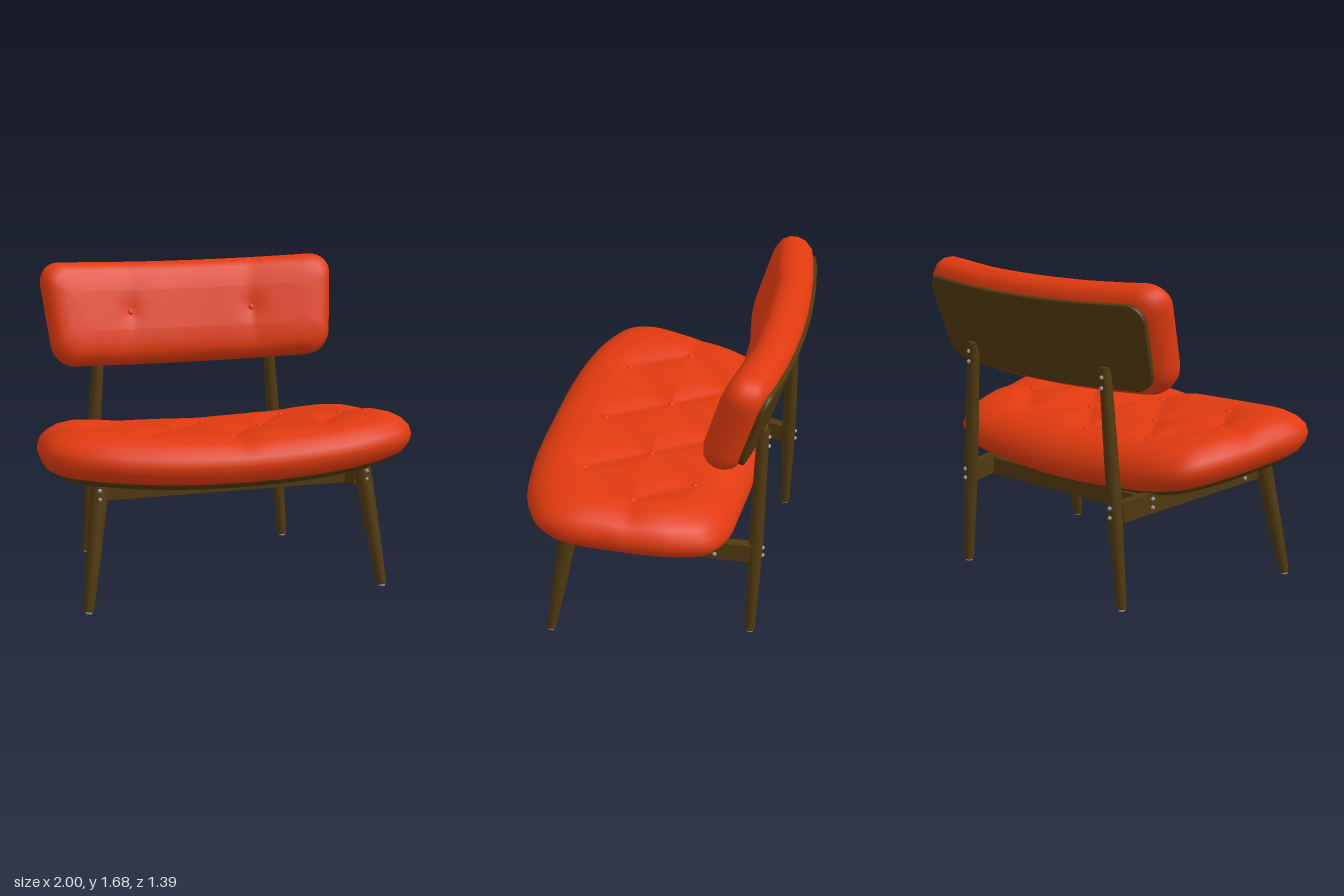
import * as THREE from 'three';

const mat = (name, color) => Object.assign(new THREE.MeshStandardMaterial({ color }), { name });

export function createModel() {
  const fabric = mat('orange red fabric', 0xe03a0f);
  const wood = mat('dark brown wood', 0x50390f);
  const metal = mat('grey metal', 0x999999);
  const group = new THREE.Group();
  const V = (x, y, z) => new THREE.Vector3(x, y, z);

  const add = (name, geometry, material) => {
    const mesh = new THREE.Mesh(geometry, material);
    mesh.name = name;
    group.add(mesh);
    return mesh;
  };

  // Closed padded slab: outline rings inset by a profile of [inset, height], filled to the centre
  function slab(outline, center, halfW, halfH, profile, place) {
    const n = outline.length, rings = [], pos = [], index = [];
    const first = profile[0], last = profile[profile.length - 1];
    for (const s of [0.001, 0.25, 0.5, 0.75]) rings.push([...first, s]);
    profile.forEach(p => rings.push([...p, 1]));
    for (let i = 31; i >= 0; i--) rings.push([...last, Math.max(i / 32, 0.001)]);
    rings.forEach(([inset, h, s], r) => {
      outline.forEach((p, i) => {
        const a = place(
          center.x + (p.x - center.x) * (1 - inset / halfW) * s,
          center.y + (p.y - center.y) * (1 - inset / halfH) * s, h);
        pos.push(a.x, a.y, a.z);
        if (r === 0) return;
        const j = (i + 1) % n, lo = (r - 1) * n, hi = r * n;
        index.push(lo + i, lo + j, hi + j, lo + i, hi + j, hi + i);
      });
    });
    const g = new THREE.BufferGeometry();
    g.setAttribute('position', new THREE.Float32BufferAttribute(pos, 3));
    g.setIndex(index);
    g.computeVertexNormals();
    return g;
  }

  // Depth of the tufted creases at a point, from line segments
  function crease(x, y, segments, radius, depth) {
    let d = radius;
    for (const [ax, ay, bx, by] of segments) {
      const ux = bx - ax, uy = by - ay;
      const t = THREE.MathUtils.clamp(((x - ax) * ux + (y - ay) * uy) / (ux * ux + uy * uy), 0, 1);
      d = Math.min(d, Math.hypot(x - ax - ux * t, y - ay - uy * t));
    }
    return depth * (1 - d / radius) ** 2;
  }

  // Seat: plan outline in (x, -z), mirrored
  const side = [[0.5, -0.665], [0.8, -0.59], [0.95, -0.49], [1, -0.36], [0.985, -0.15],
    [0.965, 0], [0.92, 0.2], [0.84, 0.36], [0.7, 0.43], [0.4, 0.455]];
  const plan = [[0, -0.69], ...side, [0, 0.47], ...side.map(([x, y]) => [-x, y]).reverse()];
  const seatCurve = new THREE.CatmullRomCurve3(plan.map(([x, y]) => V(x, y, 0)), true);
  const seatOutline = seatCurve.getSpacedPoints(180).slice(0, 180);
  const seatCenter = new THREE.Vector2(0, -0.11);

  // Tufting: buttons and the diagonal folds between them
  const buttons = [[-0.46, 0.21], [0, 0.21], [0.46, 0.21], [-0.715, -0.06], [-0.245, -0.07],
    [0.245, -0.07], [0.715, -0.06], [-0.5, -0.37], [0, -0.385], [0.5, -0.37]];
  const folds = [[0, -0.385, 0, -0.62]];
  buttons.forEach((a, i) => buttons.slice(i + 1).forEach(b => {
    const dx = Math.abs(a[0] - b[0]), dy = Math.abs(a[1] - b[1]);
    if (dy > 0.2 && dy < 0.35 && dx < 0.3) folds.push([...a, ...b]);
  }));
  for (const s of [-1, 1]) folds.push([s * 0.715, -0.06, s * 0.97, -0.03]);

  const seatTop = 0.25;
  const seatPlace = (x, y, h) => {
    const w = Math.max(h / seatTop, 0) ** 4;
    return V(x, 0.595 + 0.08 * x * x - 0.1 * y + h - w * crease(x, y, folds, 0.17, 0.028), -y);
  };
  add('seatCushion', slab(seatOutline, seatCenter, 1, 0.58,
    [[0.09, 0], [0.04, 0.02], [0.01, 0.06], [0, 0.1], [0.012, 0.145], [0.045, 0.185],
      [0.09, 0.217], [0.15, 0.24], [0.22, seatTop]], seatPlace), fabric);
  add('seatBoard', slab(seatOutline, seatCenter, 1, 0.58,
    [[0.17, -0.03], [0.12, -0.025], [0.07, 0.004], [0.08, 0.012]], seatPlace), wood);

  const button = (p, dir, name) => {
    const m = add(name, new THREE.SphereGeometry(0.018, 16, 10), fabric);
    m.scale.z = 0.6;
    m.position.copy(p);
    m.lookAt(p.clone().add(dir));
  };
  buttons.forEach(([x, y]) => button(seatPlace(x, y, seatTop), V(0, 1, 0.01), 'seatButton'));

  // Backrest: tilted back, wings curving forward
  function roundedOutline(w, h, r, taper) {
    const s = new THREE.Shape();
    s.moveTo(0, -h).lineTo(w - r, -h);
    s.absarc(w - r, r - h, r, -Math.PI / 2, 0);
    s.absarc(w - r, h - r, r, 0, Math.PI / 2);
    s.absarc(r - w, h - r, r, Math.PI / 2, Math.PI);
    s.absarc(r - w, r - h, r, Math.PI, Math.PI * 1.5);
    s.lineTo(0, -h);
    return s.getSpacedPoints(180).slice(0, 180).map(p => new THREE.Vector2(p.x * (1 + taper * p.y / h), p.y));
  }
  const backFolds = [-0.35, 0.35].map(x => [x, -0.3, x, 0.3]);
  const backDimples = [-0.35, 0.35].map(x => [x, -0.02, x, 0]);
  const backTop = 0.222;
  const backPlace = (x, v, h) => {
    const k = Math.max(h / backTop, 0) ** 4;
    const w = h + 0.13 * x * x
      - k * (crease(x, v, backFolds, 0.2, 0.012) + crease(x, v, backDimples, 0.12, 0.012));
    return V(x, 1.345 + 0.95 * v + 0.31 * w, -0.62 - 0.31 * v + 0.95 * w);
  };
  const origin = new THREE.Vector2();
  add('backCushion', slab(roundedOutline(0.82, 0.29, 0.12, 0.035), origin, 0.82, 0.29,
    [[0.07, 0], [0.025, 0.025], [0.004, 0.065], [0, 0.11], [0.008, 0.15], [0.03, 0.185],
      [0.065, 0.207], [0.12, 0.218], [0.18, backTop]], backPlace), fabric);
  add('backBoard', slab(roundedOutline(0.775, 0.235, 0.1, 0.03), origin, 0.775, 0.235,
    [[0.012, -0.014], [0.002, -0.012], [0, -0.008], [0, 0.012], [0.01, 0.014]], backPlace), wood);
  for (const x of [-0.35, 0.35]) button(backPlace(x, -0.01, backTop), V(0, 0.31, 0.95), 'backButton');

  // Frame helpers
  const bolt = (x, y, z) => add('bolt', new THREE.SphereGeometry(0.011, 10, 8), metal).position.set(x, y, z);
  function bar(name, a, b, height, thickness) {
    const m = add(name, new THREE.BoxGeometry(thickness, height, a.distanceTo(b)), wood);
    m.position.copy(a).lerp(b, 0.5);
    m.lookAt(b);
  }
  function leg(name, a, b, radii) {
    const len = a.distanceTo(b);
    const pts = [[0, 0], [radii[0] - 0.004, 0], [radii[0], 0.005], [radii[1], len * 0.45],
      [radii[2], len - 0.008], [radii[2] - 0.008, len], [0, len]];
    const m = add(name, new THREE.LatheGeometry(pts.map(p => new THREE.Vector2(...p)), 24), wood);
    m.position.copy(a);
    m.quaternion.setFromUnitVectors(V(0, 1, 0), b.clone().sub(a).normalize());
    const foot = add('footGlide', new THREE.CylinderGeometry(0.02, 0.018, 0.016, 16), metal);
    foot.position.set(a.x, 0.008, a.z);
  }

  // Legs, side rails and bolts, mirrored
  for (const s of [-1, 1]) {
    leg('frontLeg', V(s * 0.805, 0.01, 0.5), V(s * 0.715, 0.655, 0.395), [0.026, 0.038, 0.048]);
    leg('rearLeg', V(s * 0.593, 0.01, -0.545), V(s * 0.495, 1.25, -0.565), [0.026, 0.039, 0.031]);
    bar('sideRail', V(s * 0.7, 0.597, 0.39), V(s * 0.57, 0.513, -0.53), 0.105, 0.05);
    for (const y of [0.63, 0.585]) bolt(s * 0.727, y, 0.447);
    for (const y of [0.605, 0.56]) bolt(s * 0.71, y, 0.27);
    for (const y of [0.555, 0.51]) bolt(s * 0.623, y, -0.35);
    for (const y of [0.54, 0.49]) bolt(s * 0.555, y, -0.592);
    for (const y of [1.2, 1.145]) bolt(s * 0.502, y, -0.596);
  }

  // Cross rails and the plate under the seat
  bar('frontCrossRail', V(-0.68, 0.578, 0.27), V(0.68, 0.578, 0.27), 0.09, 0.05);
  bar('rearCrossRail', V(-0.59, 0.515, -0.35), V(0.59, 0.515, -0.35), 0.09, 0.05);
  const plate = add('underPlate', new THREE.BoxGeometry(0.52, 0.009, 0.34), metal);
  plate.position.set(0, 0.563, 0);
  plate.rotation.x = -0.1;

  return group;
}
